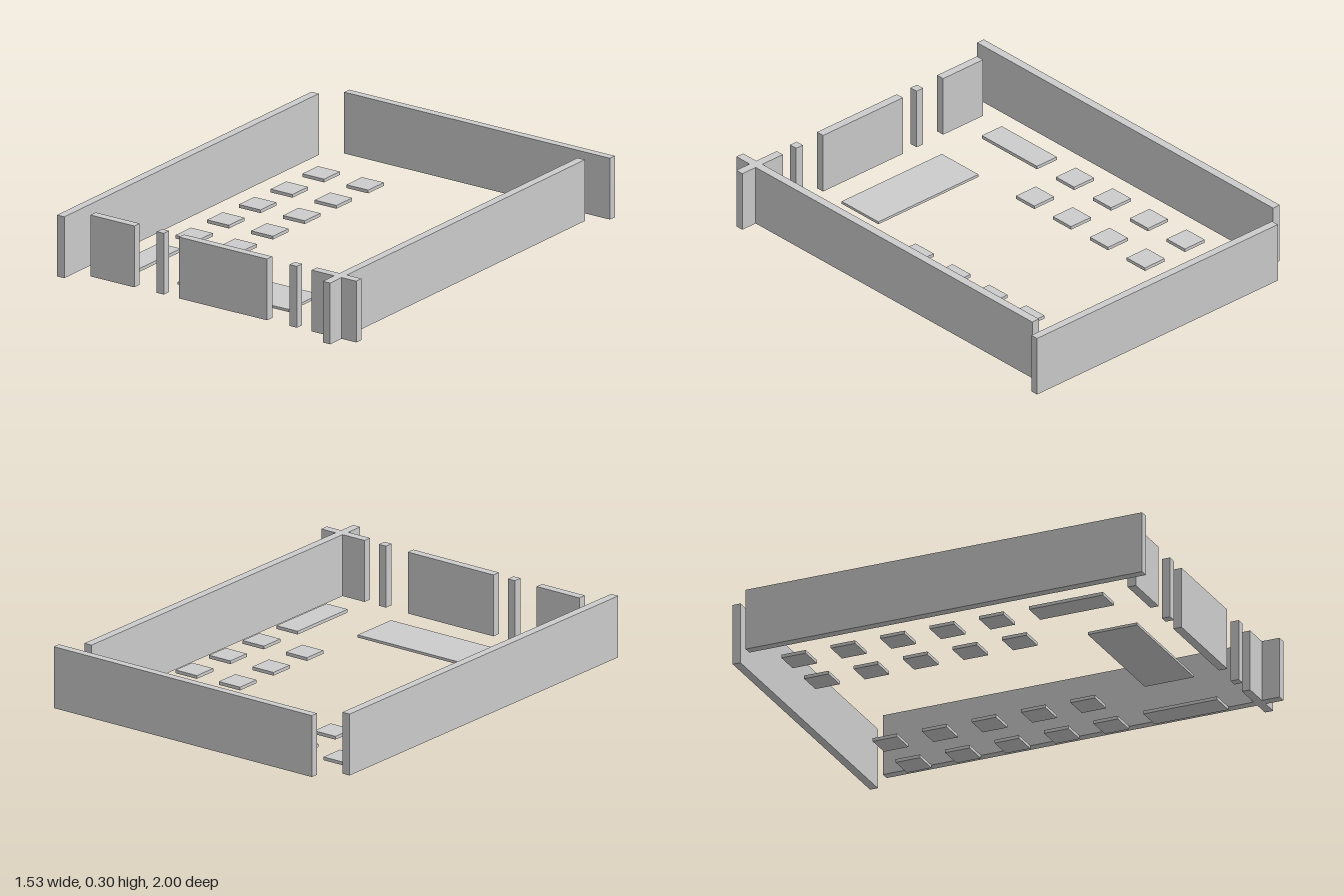
import * as THREE from 'three';

const WALL_Y = [0.015, 0.297];
const PAD_Y = [0, 0.015];

export function createModel() {
  const model = new THREE.Group();
  model.name = 'roomLayout';
  const material = new THREE.MeshStandardMaterial({ color: 0xcccccc, flatShading: true });

  // Box given by its [min, max] range on each axis
  function slab(name, x, y, z) {
    const mesh = new THREE.Mesh(
      new THREE.BoxGeometry(x[1] - x[0], y[1] - y[0], z[1] - z[0]), material);
    mesh.position.set((x[0] + x[1]) / 2, (y[0] + y[1]) / 2, (z[0] + z[1]) / 2);
    mesh.name = name;
    model.add(mesh);
  }

  // Long walls
  slab('rightWall', [-0.765, -0.726], WALL_Y, [-0.885, 1]);
  slab('leftWall', [0.646, 0.685], WALL_Y, [-0.885, 1]);
  slab('backWall', [-0.648, 0.763], WALL_Y, [-1, -0.963]);

  // Front wall, broken by door and window openings
  const frontSpans = [
    [-0.648, -0.414], [-0.296, -0.258], [-0.178, 0.29], [0.409, 0.448], [0.526, 0.763],
  ];
  frontSpans.forEach((span, i) => slab(`frontWall${i + 1}`, span, WALL_Y, [0.877, 0.916]));

  // Rows of square floor pads, four to a row
  const padColumns = [-0.59, -0.356, 0.349, 0.585];
  const half = 0.058;
  for (let row = 0; row < 5; row++) {
    const z = -0.711 + row * 0.235;
    for (const x of padColumns) {
      slab('seatPad', [x - half, x + half], PAD_Y, [z - half, z + half]);
    }
  }

  // Long pads at the front sides and the wide pad in the middle
  for (const x of [padColumns[0], padColumns[3]]) {
    slab('sidePad', [x - half, x + half], PAD_Y, [0.408, 0.759]);
  }
  slab('centrePad', [-0.297, 0.29], [0.006, 0.018], [0.525, 0.759]);

  return model;
}
